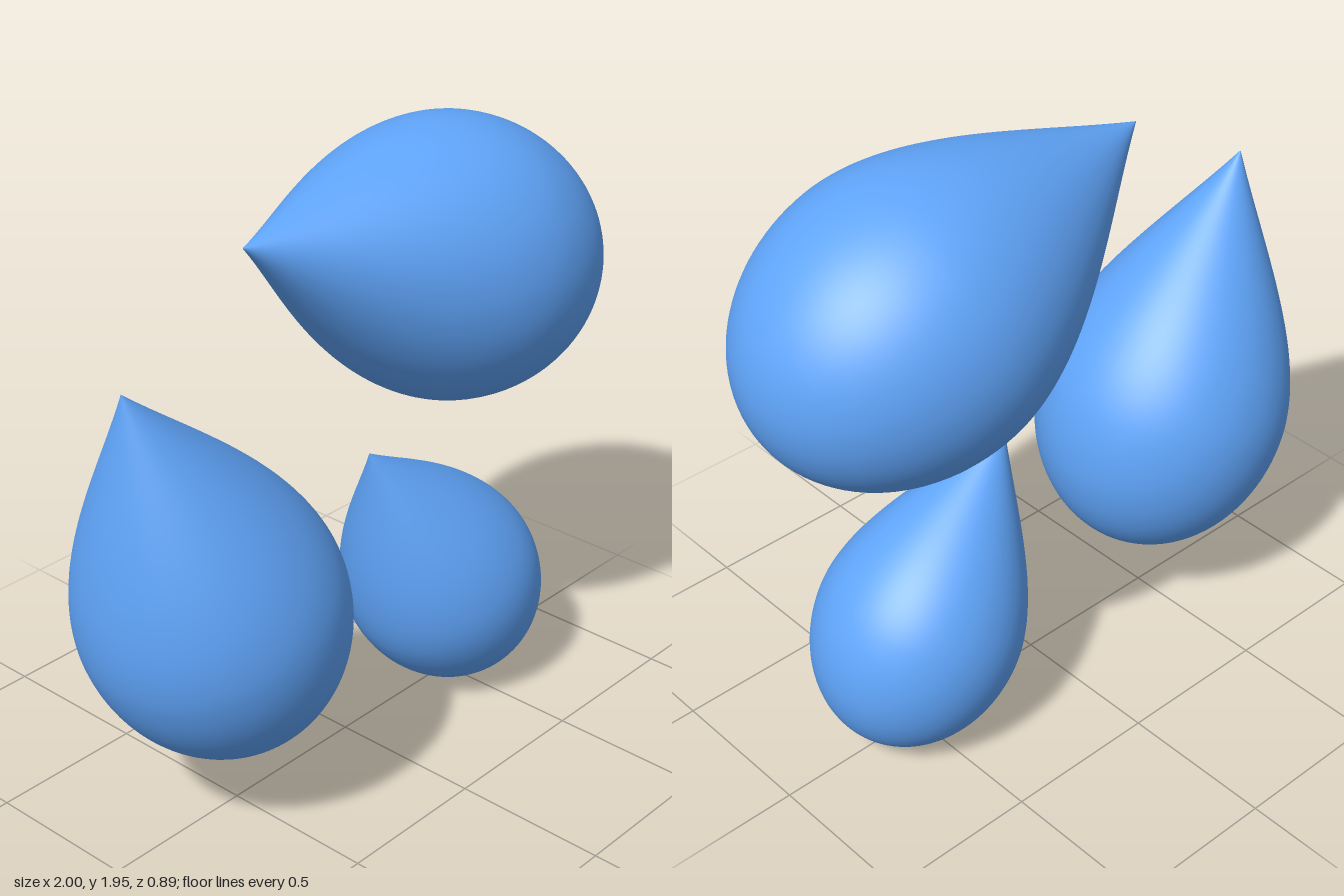
import * as THREE from 'three';

// Teardrop profile for a widest radius of 1, from the round bottom up to the tip at y = 0
const TAPER = 2.1;   // tip to widest ring
const BULB = 1.21;   // widest ring to round end

function dropGeometry() {
  const pts = [];
  for (let i = 0; i < 28; i++) {
    const a = (i / 28) * Math.PI / 2;
    pts.push(new THREE.Vector2(Math.sin(a), -TAPER - BULB * Math.cos(a)));
  }
  const taper = new THREE.CubicBezierCurve(
    new THREE.Vector2(1, -TAPER),
    new THREE.Vector2(1, -TAPER * 0.68),
    new THREE.Vector2(0.4, -TAPER * 0.33),
    new THREE.Vector2(0, 0)
  );
  pts.push(...taper.getPoints(36));
  return new THREE.LatheGeometry(pts, 96);
}

export function createModel() {
  const group = new THREE.Group();
  group.name = 'waterDrops';
  const material = new THREE.MeshStandardMaterial({ color: 0x60a5fa });
  const geometry = dropGeometry();

  // tip position, centre of the widest ring, widest radius
  const drops = [
    { name: 'largeDrop', tip: [-0.42, 1.79], belly: [0.47, 1.5], radius: 0.445 },
    { name: 'mediumDrop', tip: [-0.89, 1.515], belly: [-0.58, 0.715], radius: 0.408 },
    { name: 'smallDrop', tip: [0.11, 0.955], belly: [0.467, 0.376], radius: 0.325 },
  ];
  for (const { name, tip, belly, radius } of drops) {
    const drop = new THREE.Mesh(geometry, material);
    drop.name = name;
    drop.position.set(tip[0], tip[1], 0);
    drop.rotation.z = Math.atan2(belly[0] - tip[0], tip[1] - belly[1]);
    drop.scale.setScalar(radius);
    group.add(drop);
  }
  return group;
}
